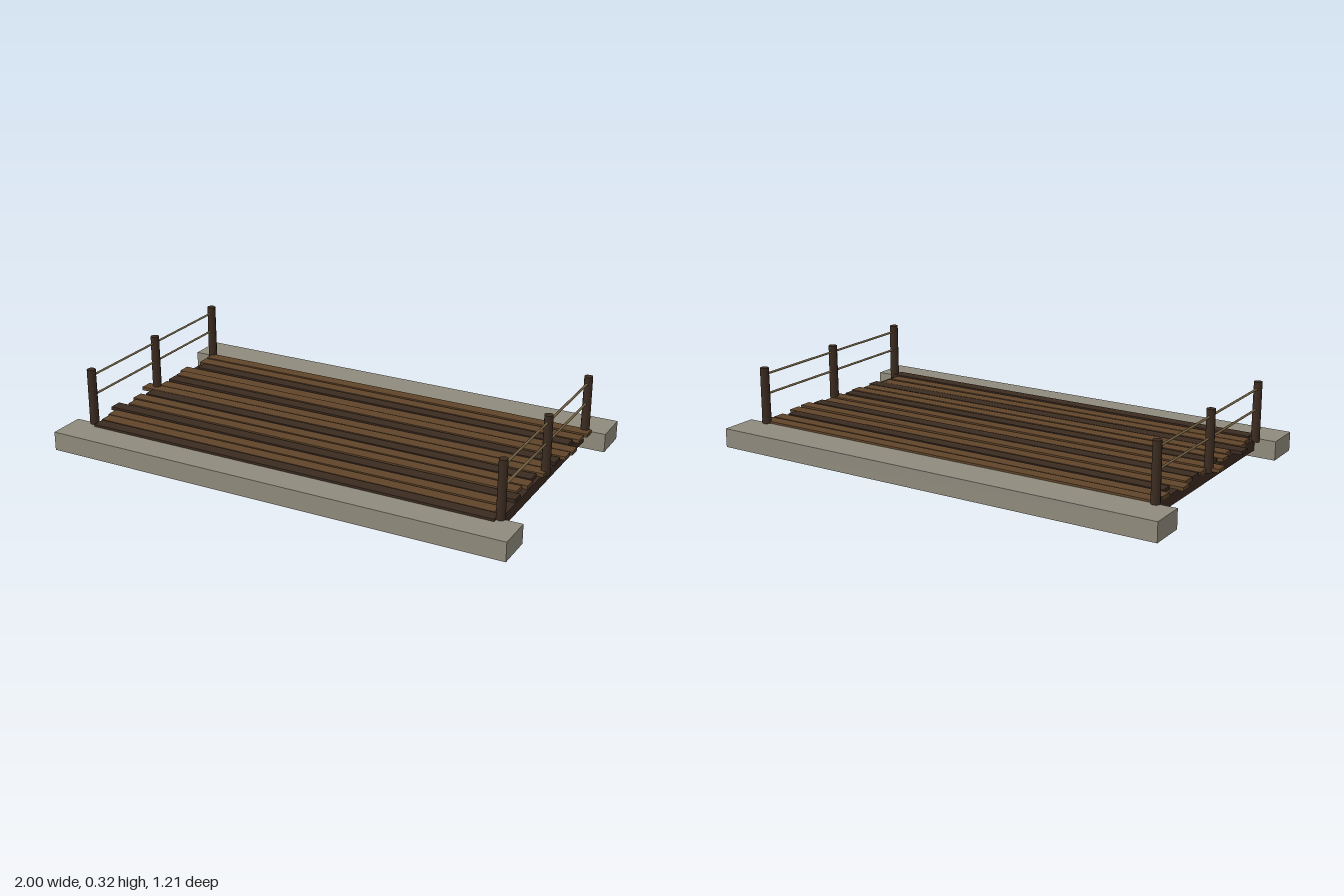
import * as THREE from 'three';

const mat = (name, color) => {
  const m = new THREE.MeshStandardMaterial({ color });
  m.name = name;
  return m;
};

export function createModel() {
  const stone = mat('stone', 0x8f8a7c);
  const lightWood = mat('lightWood', 0x5f4429);
  const darkWood = mat('darkWood', 0x3b2b20);
  const rope = mat('rope', 0x7d6a48);
  const model = new THREE.Group();
  model.name = 'plankBridge';

  const add = (name, geometry, material, x, y, z, parent = model) => {
    const mesh = new THREE.Mesh(geometry, material);
    mesh.name = name;
    mesh.position.set(x, y, z);
    parent.add(mesh);
    return mesh;
  };

  // Stone footings along both banks
  for (const s of [1, -1]) {
    add(s > 0 ? 'frontFooting' : 'backFooting', new THREE.BoxGeometry(2, 0.08, 0.157), stone, 0, 0.04, s * 0.5285);
  }

  // Beams under the deck
  for (const x of [-0.885, -0.314, 0.314, 0.885]) {
    add('beam', new THREE.BoxGeometry(0.048, 0.046, 0.9), darkWood, x, 0.051, 0);
  }

  // Uneven deck planks: left end, right end, yaw, height offset
  const planks = [
    [-0.91, 0.94, 0.001, 0.001], [-0.91, 0.93, -0.002, -0.001], [-0.88, 0.905, -0.003, 0],
    [-0.93, 0.945, 0.002, -0.002], [-0.91, 0.94, -0.001, 0.002], [-0.91, 0.92, -0.003, 0.001],
    [-0.91, 0.91, 0.003, -0.002], [-0.96, 0.92, 0.002, 0.001], [-0.90, 0.895, -0.003, 0.002],
    [-0.92, 0.905, -0.002, 0.002], [-0.90, 0.885, -0.001, 0.002], [-0.945, 0.905, -0.003, 0],
    [-0.91, 0.875, 0.003, -0.001], [-0.90, 0.875, -0.002, -0.001], [-0.89, 0.90, -0.001, 0.002],
  ];
  const deck = new THREE.Group();
  deck.name = 'deck';
  model.add(deck);
  planks.forEach(([x0, x1, yaw, dy], i) => {
    const plank = add('plank', new THREE.BoxGeometry(x1 - x0, 0.015, 0.054),
      i % 3 === 2 ? darkWood : lightWood, (x0 + x1) / 2, 0.08 + dy, -0.423 + i * 0.0628, deck);
    plank.rotation.y = yaw;
  });

  // Side railings: three posts and two thin lines each
  for (const s of [1, -1]) {
    const railing = new THREE.Group();
    railing.name = s > 0 ? 'leftRailing' : 'rightRailing';
    model.add(railing);
    for (const z of [-0.45, 0, 0.45]) {
      add('post', new THREE.CylinderGeometry(0.0185, 0.0195, 0.253, 8), darkWood, s * 0.912, 0.1935, z, railing);
    }
    for (const y of [0.291, 0.205]) {
      const line = add('railLine', new THREE.CylinderGeometry(0.005, 0.005, 0.9, 6), rope, s * 0.912, y, 0, railing);
      line.rotation.x = Math.PI / 2;
    }
  }
  return model;
}
